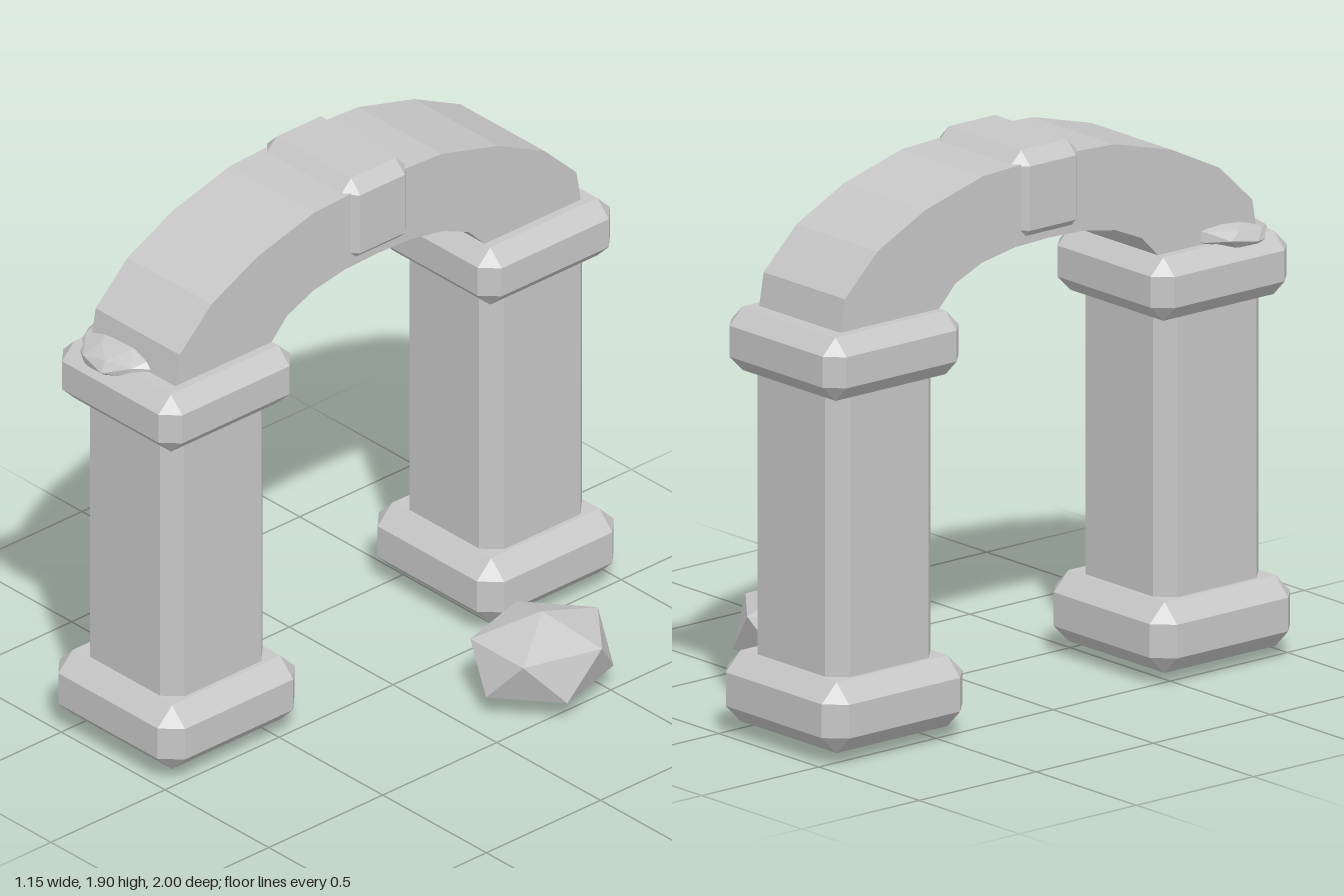
import * as THREE from 'three';
import { ConvexGeometry } from 'three/addons/geometries/ConvexGeometry.js';

const CX = -0.275; // centre line of the archway

const stone = new THREE.MeshStandardMaterial({ color: 0xc6c6c6 });
stone.name = 'grey stone';

// Box with all edges chamfered by c, standing on y0
function chamferBox(w, y0, y1, d, c) {
  const h = [w / 2, (y1 - y0) / 2, d / 2];
  const pts = [];
  for (const sx of [-1, 1]) for (const sy of [-1, 1]) for (const sz of [-1, 1])
    for (let full = 0; full < 3; full++) {
      const p = [sx, sy, sz].map((s, i) => s * (h[i] - (i === full ? 0 : c)));
      pts.push(new THREE.Vector3(...p));
    }
  return new ConvexGeometry(pts).translate(0, (y0 + y1) / 2, 0);
}

function add(parent, name, geometry, x = 0, y = 0, z = 0) {
  const mesh = new THREE.Mesh(geometry, stone);
  mesh.name = name;
  mesh.position.set(x, y, z);
  parent.add(mesh);
  return mesh;
}

export function createModel() {
  const model = new THREE.Group();
  model.name = 'stoneArchway';

  // Two pillars, each with a base, shaft and capital
  for (const side of [1, -1]) {
    const pillar = new THREE.Group();
    pillar.name = side > 0 ? 'frontPillar' : 'backPillar';
    pillar.position.set(CX, 0, side * 0.7);
    add(pillar, 'base', chamferBox(0.605, 0.04, 0.28, 0.6, 0.063));
    add(pillar, 'shaft', chamferBox(0.45, 0.18, 1.33, 0.45, 0.057));
    add(pillar, 'capital', chamferBox(0.575, 1.23, 1.445, 0.58, 0.055));
    model.add(pillar);
  }

  // Arch: half profiles as [z, y], mirrored about the crown
  const outer = [[0.89, 1.4], [0.89, 1.44], [0.87, 1.555], [0.73, 1.69], [0.527, 1.79], [0.28, 1.857]];
  const inner = [[0.5, 1.4], [0.472, 1.44], [0.397, 1.517], [0.285, 1.565], [0.145, 1.59]];
  const mirror = (half, crown) => [...half, crown, ...half.map(([z, y]) => [-z, y]).reverse()];
  const outline = [...mirror(outer, [0, 1.87]), ...mirror(inner, [0, 1.595]).reverse()];
  const shape = new THREE.Shape(outline.map(([z, y]) => new THREE.Vector2(z, y)));
  const arch = new THREE.ExtrudeGeometry(shape, { depth: 0.405, bevelEnabled: false });
  arch.translate(0, 0, -0.2025).rotateY(Math.PI / 2);
  add(model, 'arch', arch, CX);

  // Keystone at the crown
  add(model, 'keystone', chamferBox(0.45, 1.597, 1.905, 0.285, 0.045), CX);

  // Fallen boulder: two staggered rings of five points between two poles
  const pts = [new THREE.Vector3(0, 0.155, 0), new THREE.Vector3(0, -0.155, 0)];
  for (const s of [1, -1]) for (let i = 0; i < 5; i++) {
    const a = (i / 5) * Math.PI * 2;
    pts.push(new THREE.Vector3(0.217 * Math.sin(a), 0.073 * s, -0.245 * s * Math.cos(a)));
  }
  add(model, 'boulder', new ConvexGeometry(pts), 0.366, 0.157, -0.32);

  // Flat chunk of rubble resting on the front capital
  const rubble = new THREE.IcosahedronGeometry(1, 1).scale(0.195, 0.058, 0.2);
  rubble.computeVertexNormals();
  const chunk = add(model, 'rubble', rubble, -0.36, 1.455, 0.795);
  chunk.rotation.set(0.15, 0.2, 0.06);

  return model;
}
